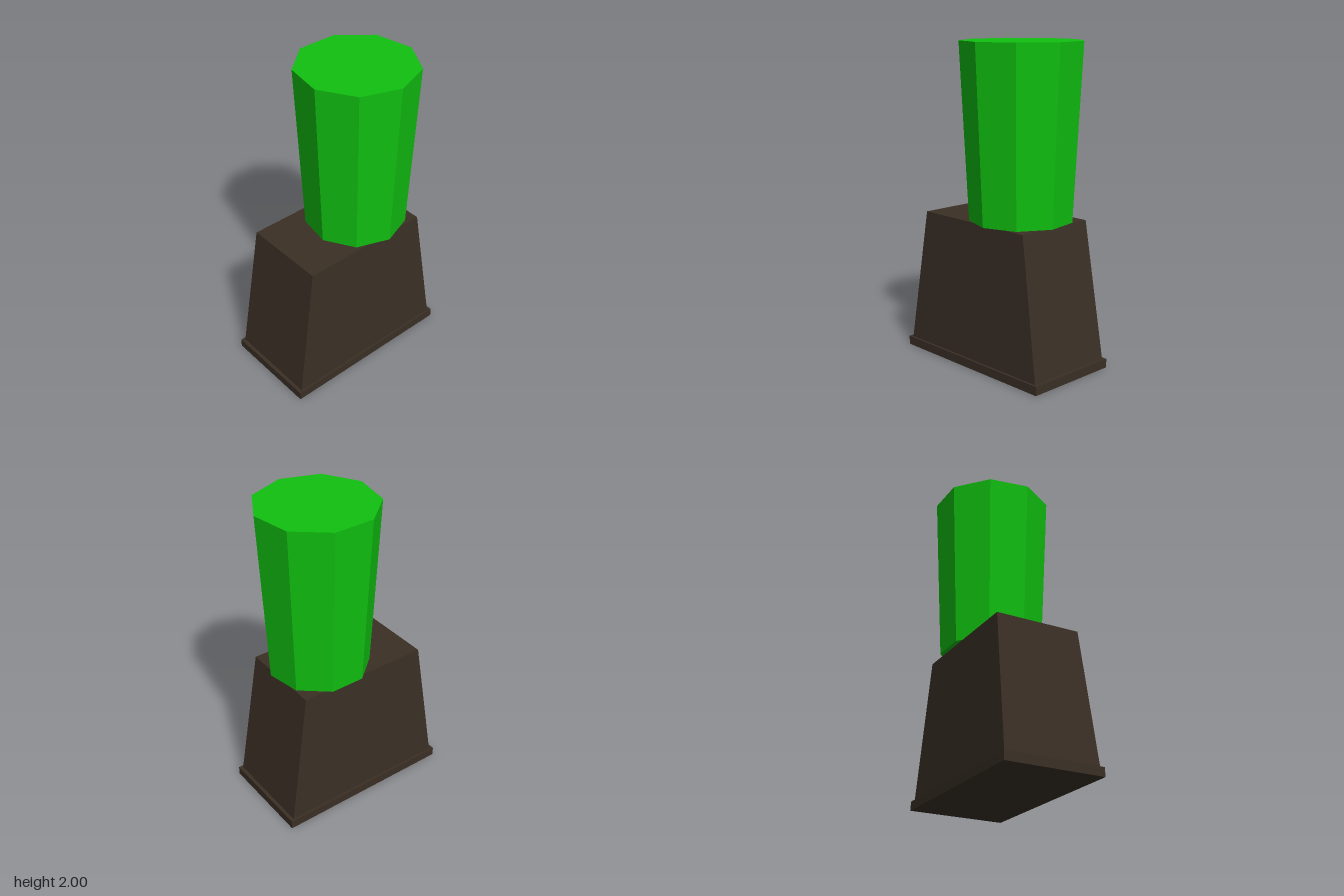
import * as THREE from 'three';

const CX = -0.013; // shared centre line of all parts

// Separate the faces so every facet gets its own flat normal
function faceted(geometry) {
  const flat = geometry.toNonIndexed();
  flat.computeVertexNormals();
  return flat;
}

// Box standing on y = 0 whose top is scaled to a different width and depth
function taperedBox(width, depth, topWidth, topDepth, height) {
  const geometry = new THREE.BoxGeometry(width, height, depth);
  geometry.translate(0, height / 2, 0);
  const p = geometry.attributes.position;
  for (let i = 0; i < p.count; i++) {
    if (p.getY(i) > height / 2) {
      p.setX(i, p.getX(i) * topWidth / width);
      p.setZ(i, p.getZ(i) * topDepth / depth);
    }
  }
  return faceted(geometry);
}

export function createModel() {
  const model = new THREE.Group();
  model.name = 'pedestalWithColumn';

  const brown = new THREE.MeshStandardMaterial({ color: 0x3a2f25 });
  brown.name = 'darkBrown';
  const green = new THREE.MeshStandardMaterial({ color: 0x10c010 });
  green.name = 'brightGreen';

  const add = (name, geometry, material, x, y, z) => {
    const mesh = new THREE.Mesh(geometry, material);
    mesh.name = name;
    mesh.position.set(x, y, z);
    model.add(mesh);
  };

  // Plinth and the tapered pedestal standing on it
  add('plinth', new THREE.BoxGeometry(0.625, 0.056, 1.168), brown, CX, 0.028, 0);
  add('pedestal', taperedBox(0.596, 1.122, 0.542, 0.858, 0.864), brown, CX, 0.056, 0);

  // Nine-sided column, widening upwards, with one corner pointing to +x
  const column = new THREE.CylinderGeometry(0.372, 0.318, 1.08, 9, 1, false, Math.PI / 2);
  add('column', faceted(column), green, CX, 1.46, -0.145);

  return model;
}
